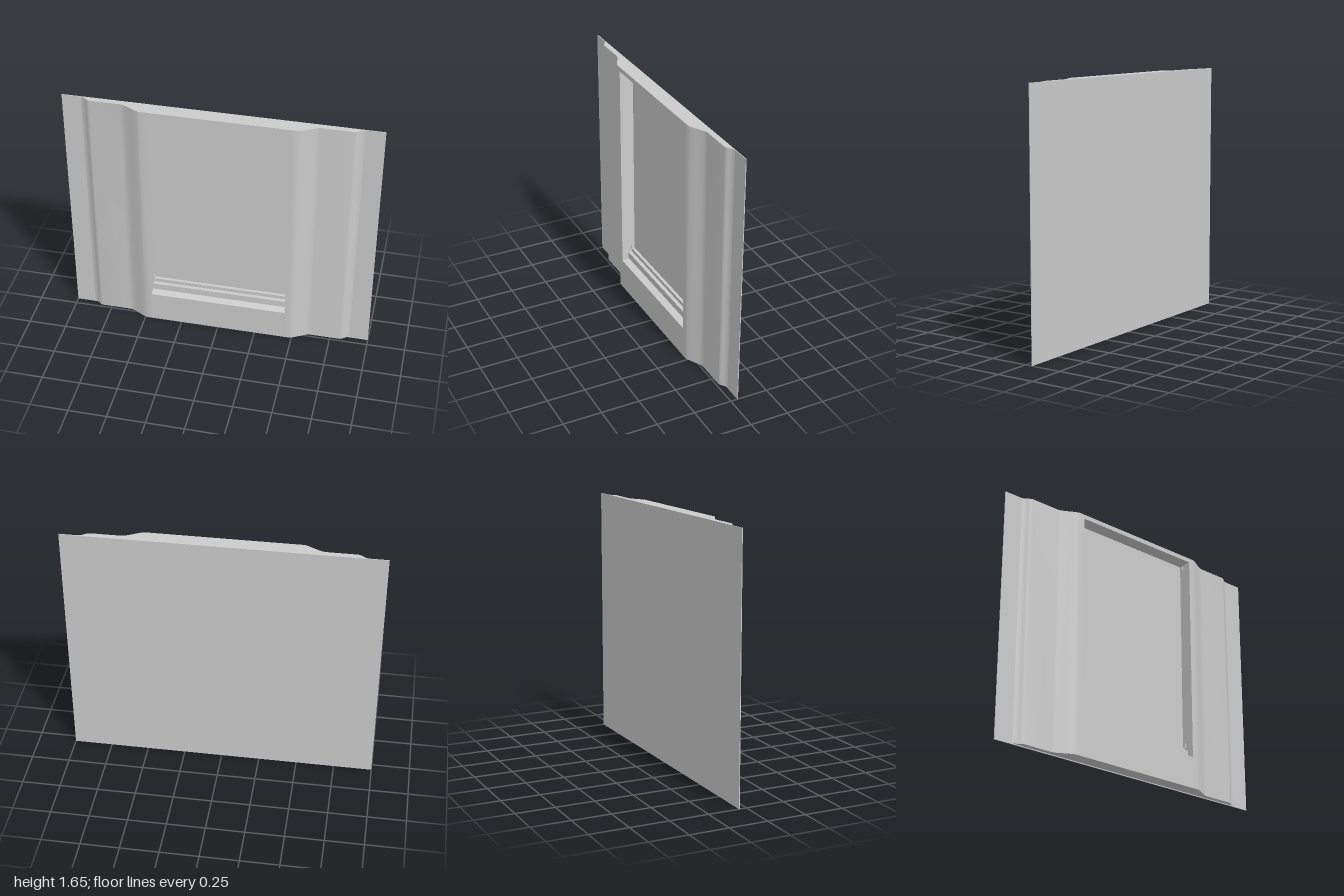
import * as THREE from 'three';
import { toCreasedNormals } from 'three/addons/utils/BufferGeometryUtils.js';

const H = 1.65, BACK = -0.05, FRONT = 0.047, OPEN = 0.45;

export function createModel() {
  const group = new THREE.Group();
  const material = new THREE.MeshStandardMaterial({ color: 0xcccccc, side: THREE.DoubleSide });

  function add(name, geometry) {
    const mesh = new THREE.Mesh(geometry, material);
    mesh.name = name;
    group.add(mesh);
    return mesh;
  }
  function box(name, x0, x1, y0, y1, z0, z1) {
    const g = new THREE.BoxGeometry(x1 - x0, y1 - y0, z1 - z0);
    return add(name, g.translate((x0 + x1) / 2, (y0 + y1) / 2, (z0 + z1) / 2));
  }

  // thin backing sheet
  box('backPanel', -1, 1, 0, H, BACK, -0.045);

  // moulded side stiles: plan profile (x, z) extruded upwards
  for (const s of [1, -1]) {
    const shape = new THREE.Shape();
    const p = (x, z) => [s * x, -z];
    shape.moveTo(...p(OPEN, -0.046));
    shape.lineTo(...p(OPEN, FRONT));
    shape.lineTo(...p(0.49, FRONT));
    shape.bezierCurveTo(...p(0.53, 0.032), ...p(0.56, 0.008), ...p(0.6, -0.008));
    shape.lineTo(...p(0.62, -0.012));
    shape.lineTo(...p(0.81, -0.012));
    shape.bezierCurveTo(...p(0.84, -0.014), ...p(0.84, -0.036), ...p(0.88, -0.046));
    const g = new THREE.ExtrudeGeometry(shape, { depth: H - 0.005, bevelEnabled: false, curveSegments: 10 });
    g.rotateX(-Math.PI / 2).translate(0, 0.005, 0);
    add(s > 0 ? 'leftStile' : 'rightStile', toCreasedNormals(g, 0.45));
  }

  // head rail above the opening
  box('topRail', -OPEN, OPEN, 1.62, H, -0.046, FRONT);

  // bottom rail with sloped sill and two steps, section (z, y) swept across x
  const section = new THREE.Shape([
    [-0.046, 0.005], [FRONT, 0.005], [FRONT, 0.215], [0, 0.225],
    [0, 0.27], [-0.025, 0.27], [-0.025, 0.295], [-0.046, 0.295],
  ].map(([z, y]) => new THREE.Vector2(-z, y)));
  const sill = new THREE.ExtrudeGeometry(section, { depth: OPEN * 2, bevelEnabled: false });
  sill.rotateY(Math.PI / 2).translate(-OPEN, 0, 0);
  add('bottomRail', sill);

  // small retaining clips in the corners of the opening
  for (const s of [1, -1]) {
    for (const y of [0.31, 1.6]) {
      const x = s * 0.447;
      box('cornerClip', x - 0.004, x + 0.004, y - 0.016, y + 0.016, -0.03, -0.018);
    }
  }
  return group;
}
